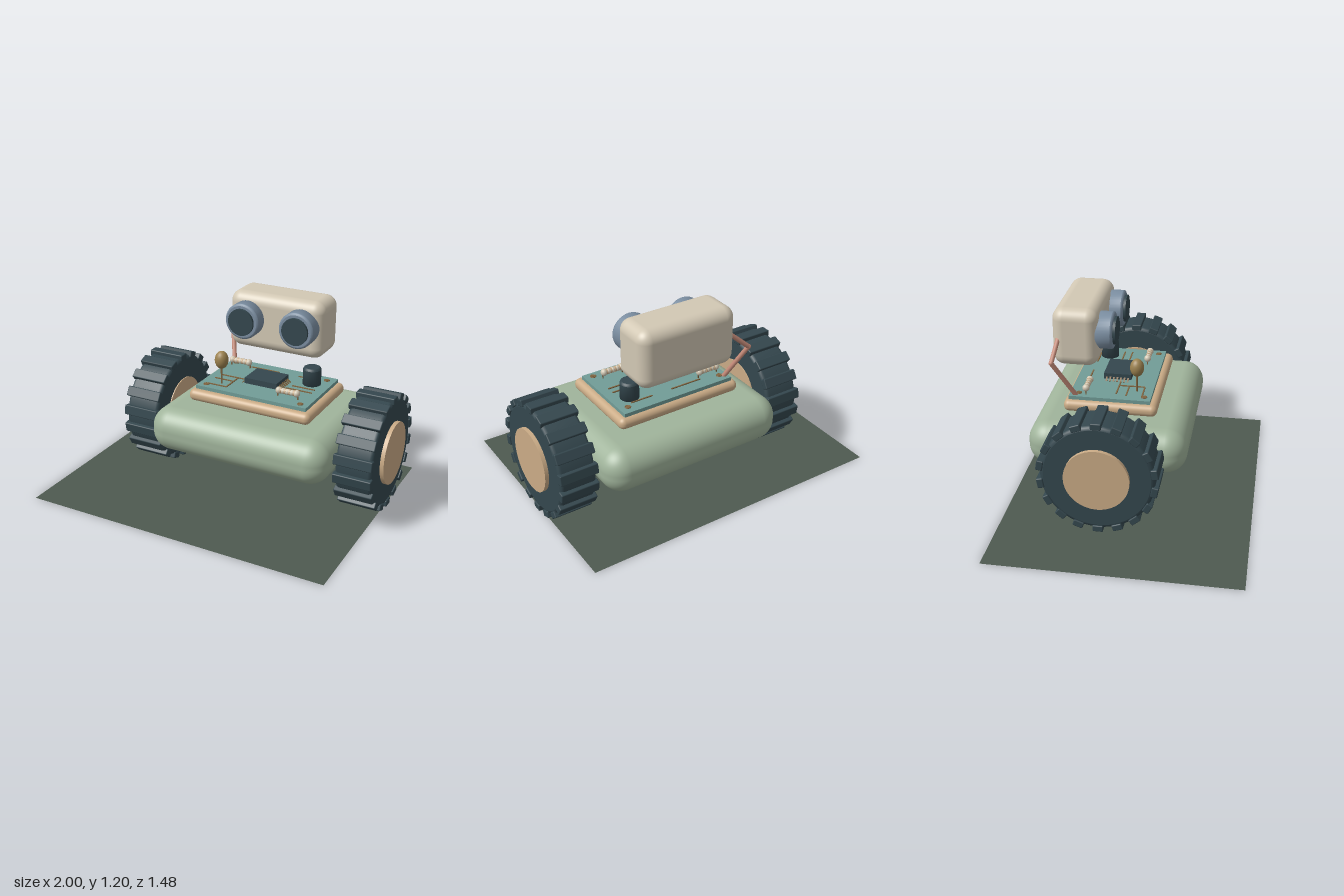
import * as THREE from 'three';
import { RoundedBoxGeometry } from 'three/addons/geometries/RoundedBoxGeometry.js';

const mat = (name, color, extra = {}) => {
  const m = new THREE.MeshStandardMaterial({ color, ...extra });
  m.name = name;
  return m;
};

export function createModel() {
  const model = new THREE.Group();
  model.name = 'rover';
  const ground = mat('mossGround', 0x4e5a50, { side: THREE.DoubleSide });
  const green = mat('sageGreen', 0xa0b49b);
  const dark = mat('darkSlate', 0x34474e);
  const tan = mat('tan', 0xcaab86);
  const teal = mat('boardTeal', 0x719c97);
  const cream = mat('cream', 0xd2c8b4);
  const blue = mat('steelBlue', 0x7a8da0);
  const pink = mat('dustyPink', 0xc48a78);
  const gold = mat('gold', 0x9c8250);
  const copper = mat('copper', 0x80643f);

  const add = (name, geo, material, x = 0, y = 0, z = 0, parent = model) => {
    const mesh = new THREE.Mesh(geo, material);
    mesh.name = name;
    mesh.position.set(x, y, z);
    parent.add(mesh);
    return mesh;
  };
  const box = (name, m, sx, sy, sz, x, y, z, parent) =>
    add(name, new THREE.BoxGeometry(sx, sy, sz), m, x, y, z, parent);
  const rounded = (name, m, sx, sy, sz, r, x, y, z, seg = 6) =>
    add(name, new RoundedBoxGeometry(sx, sy, sz, seg, r), m, x, y, z);
  const rod = (name, m, a, b, r) => {
    const d = new THREE.Vector3().subVectors(b, a);
    const mesh = add(name, new THREE.CylinderGeometry(r, r, d.length(), 12), m);
    mesh.position.copy(a).addScaledVector(d, 0.5);
    mesh.quaternion.setFromUnitVectors(new THREE.Vector3(0, 1, 0), d.normalize());
    return mesh;
  };
  const lathe = (pts, seg = 40) =>
    new THREE.LatheGeometry(pts.map(([r, y]) => new THREE.Vector2(r, y)), seg);

  // Ground sheet and body
  const sheet = add('ground', new THREE.PlaneGeometry(1.935, 1.48), ground, -0.0325, 0, 0);
  sheet.rotation.x = -Math.PI / 2;
  rounded('body', green, 1.165, 0.278, 0.95, 0.125, 0.155, 0.426, -0.135, 8);

  // Wheels: tyre, hub and eighteen tread lugs
  for (const side of [-1, 1]) {
    const wheel = new THREE.Group();
    wheel.name = side > 0 ? 'leftWheel' : 'rightWheel';
    wheel.position.set(0.157 + side * 0.706, 0.403, -0.133);
    model.add(wheel);
    const tyre = add('tyre', lathe([[0, -0.11], [0.31, -0.11], [0.31, -0.11], [0.325, -0.105],
      [0.332, -0.09], [0.332, 0.09], [0.325, 0.105], [0.31, 0.11], [0.31, 0.11], [0, 0.11]], 48),
      dark, 0, 0, 0, wheel);
    tyre.rotation.z = Math.PI / 2;
    const hub = add('hub', new THREE.CylinderGeometry(0.19, 0.19, 0.25, 40), tan, side * 0.0085, 0, 0, wheel);
    hub.rotation.z = Math.PI / 2;
    const lugGeo = new RoundedBoxGeometry(0.235, 0.04, 0.062, 1, 0.006);
    for (let i = 0; i < 18; i++) {
      const a = (i * Math.PI) / 9;
      const lug = add('treadLug', lugGeo, dark, 0, Math.cos(a) * 0.334, Math.sin(a) * 0.334, wheel);
      lug.rotation.x = a;
    }
  }

  // Tray and circuit board
  rounded('tray', tan, 0.802, 0.072, 0.561, 0.034, 0.158, 0.624, -0.136);
  box('circuitBoard', teal, 0.73, 0.03, 0.49, 0.156, 0.667, -0.144);
  const top = 0.682;

  // Board traces and corner screws
  const traces = [[-0.03, -0.03, 0.008, 0.15], [-0.095, 0.045, 0.13, 0.008], [-0.1, -0.05, 0.12, 0.008],
    [0.38, -0.112, 0.17, 0.008], [0.39, -0.16, 0.15, 0.008], [-0.06, -0.112, 0.16, 0.008],
    [0.36, -0.31, 0.14, 0.008], [0.06, -0.31, 0.2, 0.008]];
  for (const [x, z, w, d] of traces) box('trace', copper, w, 0.006, d, x, top + 0.002, z);
  for (const x of [-0.16, 0.468]) for (const z of [-0.335, 0.06]) {
    const ring = add('screwRing', new THREE.TorusGeometry(0.015, 0.004, 6, 20), copper, x, top + 0.001, z);
    ring.rotation.x = Math.PI / 2;
    add('screw', new THREE.CylinderGeometry(0.012, 0.012, 0.006, 16), copper, x, top + 0.002, z);
  }

  // Chip with bent pins
  box('chip', dark, 0.215, 0.036, 0.17, 0.152, 0.706, -0.137);
  for (const side of [-1, 1]) for (let i = 0; i < 7; i++) {
    const pin = box('chipPin', copper, 0.034, 0.005, 0.01, 0.152 + side * 0.118, 0.692, -0.203 + i * 0.022);
    pin.rotation.z = -side * 0.65;
  }

  // Capacitor
  add('capacitor', lathe([[0, 0], [0.056, 0], [0.056, 0.1], [0.056, 0.1], [0.051, 0.11],
    [0.044, 0.114], [0.044, 0.114], [0, 0.114]], 28), dark, 0.405, top - 0.002, -0.249);

  // Resistors: beaded bodies with bands and leads
  for (const [x, z] of [[0.364, 0.01], [-0.106, -0.29]]) {
    for (let i = 0; i < 5; i++) {
      const r = i % 4 === 0 ? 0.022 : 0.018;
      const bead = add('resistorBead', new THREE.SphereGeometry(r, 16, 10), cream, x + (i - 2) * 0.029, 0.72, z);
      bead.scale.x = 0.9;
    }
    const core = add('resistorCore', new THREE.CylinderGeometry(0.016, 0.016, 0.12, 16), cream, x, 0.72, z);
    core.rotation.z = Math.PI / 2;
    for (const i of [-1.5, -0.5, 0.5, 1.5]) {
      const band = add('resistorBand', new THREE.CylinderGeometry(0.0175, 0.0175, 0.01, 16), tan, x + i * 0.029, 0.72, z);
      band.rotation.z = Math.PI / 2;
    }
    for (const s of [-1, 1]) box('resistorLead', copper, 0.006, 0.04, 0.006, x + s * 0.066, 0.698, z);
  }

  // Indicator lamp on its stem
  add('lampStem', new THREE.CylinderGeometry(0.006, 0.006, 0.12, 10), copper, -0.083, 0.74, 0.005);
  add('lamp', new THREE.SphereGeometry(0.042, 24, 16), gold, -0.083, 0.837, 0.005).scale.y = 1.33;

  // Bent neck arm
  const base = new THREE.Vector3(-0.178, 0.67, -0.345);
  const elbow = new THREE.Vector3(-0.26, 0.911, -0.472);
  const tip = new THREE.Vector3(-0.1, 1.05, -0.45);
  rod('lowerArm', pink, base, elbow, 0.014);
  rod('upperArm', pink, elbow, tip, 0.014);
  add('elbow', new THREE.SphereGeometry(0.0145, 14, 10), pink, elbow.x, elbow.y, elbow.z);

  // Head and eyes
  rounded('head', cream, 0.626, 0.358, 0.275, 0.07, 0.155, 1.021, -0.357, 8);
  for (const x of [-0.024, 0.334]) {
    const rim = add('eyeRim', lathe([[0, -0.05], [0.112, -0.05], [0.112, 0.085], [0.112, 0.085],
      [0.109, 0.093], [0.1, 0.097], [0.1, 0.097], [0, 0.097]]), blue, x, 1.043, -0.235);
    rim.rotation.x = Math.PI / 2;
    const lens = add('eyeLens', new THREE.CylinderGeometry(0.084, 0.084, 0.03, 40), dark, x, 1.043, -0.137);
    lens.rotation.x = Math.PI / 2;
  }
  return model;
}
